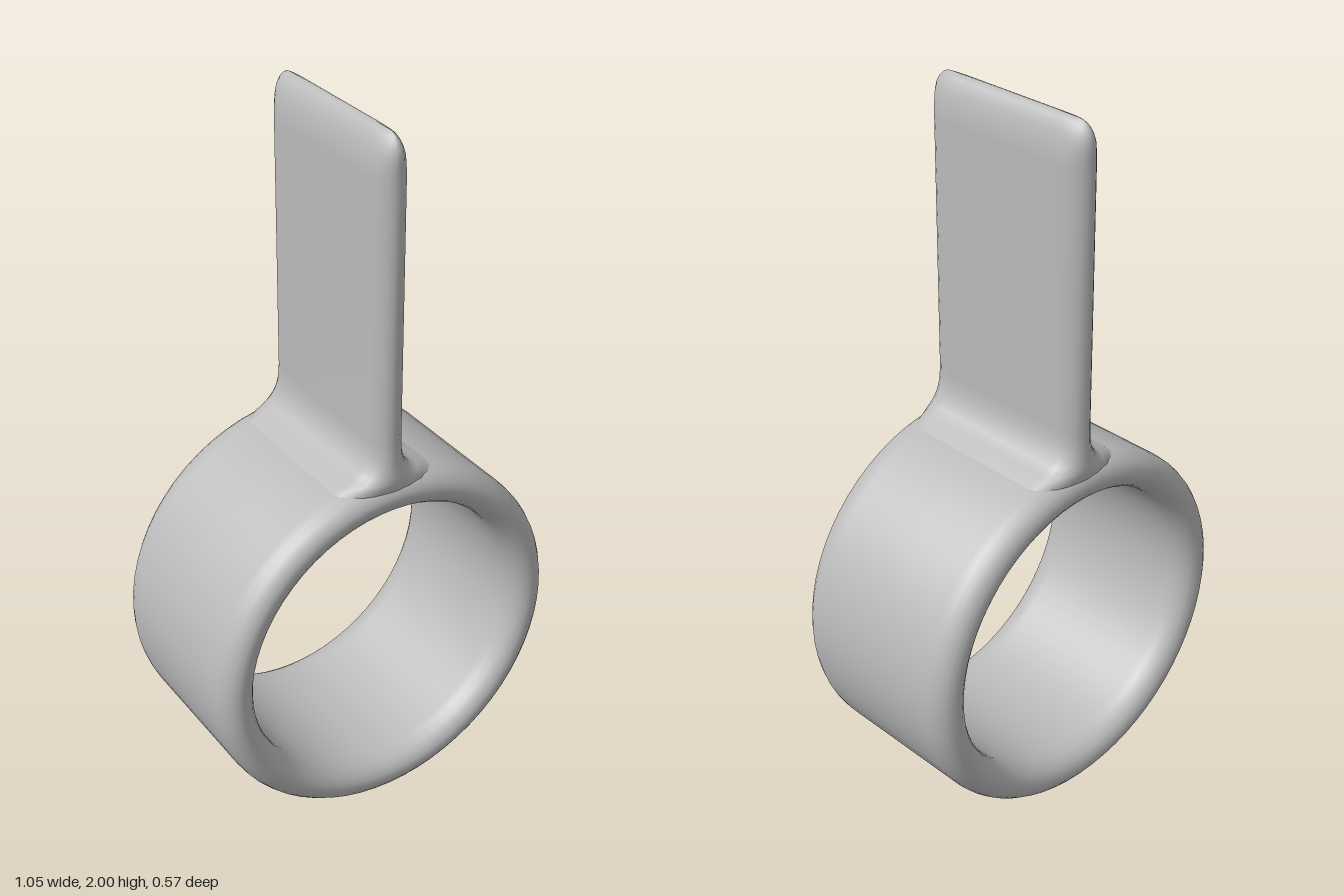
import * as THREE from 'three';

// Flat bar outline with elliptical ends: half thickness t, half length l, end length e
function roundedBar(t, l, e, steps = 10) {
  const pts = [[t, 0]];
  for (const side of [1, -1]) {
    for (let i = 0; i <= steps; i++) {
      const a = (side > 0 ? 0 : Math.PI) + (i / steps) * Math.PI;
      pts.push([t * Math.cos(a), side * (l - e) + e * Math.sin(a)]);
    }
  }
  pts.push([t, 0]);
  return pts;
}

export function createModel() {
  const group = new THREE.Group();
  const grey = new THREE.MeshStandardMaterial({ color: 0xbababa });
  grey.name = 'plain grey';

  // Ring: rounded band section turned around the z axis
  const section = roundedBar(0.053, 0.286, 0.075).map(([x, y]) => new THREE.Vector2(0.472 + x, y));
  const ring = new THREE.Mesh(new THREE.LatheGeometry(section, 64), grey);
  ring.name = 'ringBand';
  ring.rotation.x = Math.PI / 2;
  ring.position.y = 0.527;
  group.add(ring);

  // Blade levels: height, half thickness, half depth (flared foot, straight body, rounded tip)
  const levels = [
    [1.0, 0.2, 0.27], [1.038, 0.135, 0.278], [1.052, 0.1, 0.28], [1.068, 0.075, 0.279],
    [1.09, 0.058, 0.276], [1.12, 0.047, 0.273], [1.16, 0.043, 0.272], [1.5, 0.043, 0.272], [1.88, 0.043, 0.272],
  ];
  for (let i = 1; i <= 8; i++) {
    const a = (i / 8) * Math.PI / 2;
    const y = 1.88 + 0.12 * Math.sin(a);
    const k = Math.max(0, (y - 1.94) / 0.06);
    levels.push([y, 0.043 * Math.cos(a), 0.272 - 0.05 * (1 - Math.sqrt(Math.max(0, 1 - k * k)))]);
  }
  const positions = [], index = [];
  const n = roundedBar(1, 1, 0.3).length - 1;
  levels.forEach(([y, t, l], j) => {
    roundedBar(t, l, 0.07).slice(0, n).forEach(([x, z]) => positions.push(x, y, z));
    if (j === 0) return;
    for (let i = 0; i < n; i++) {
      const a = (j - 1) * n + i, b = (j - 1) * n + (i + 1) % n;
      index.push(a, a + n, b, b, a + n, b + n);
    }
  });
  const geometry = new THREE.BufferGeometry();
  geometry.setAttribute('position', new THREE.Float32BufferAttribute(positions, 3));
  geometry.setIndex(index);
  geometry.computeVertexNormals();
  const blade = new THREE.Mesh(geometry, grey);
  blade.name = 'uprightBlade';
  group.add(blade);
  return group;
}
